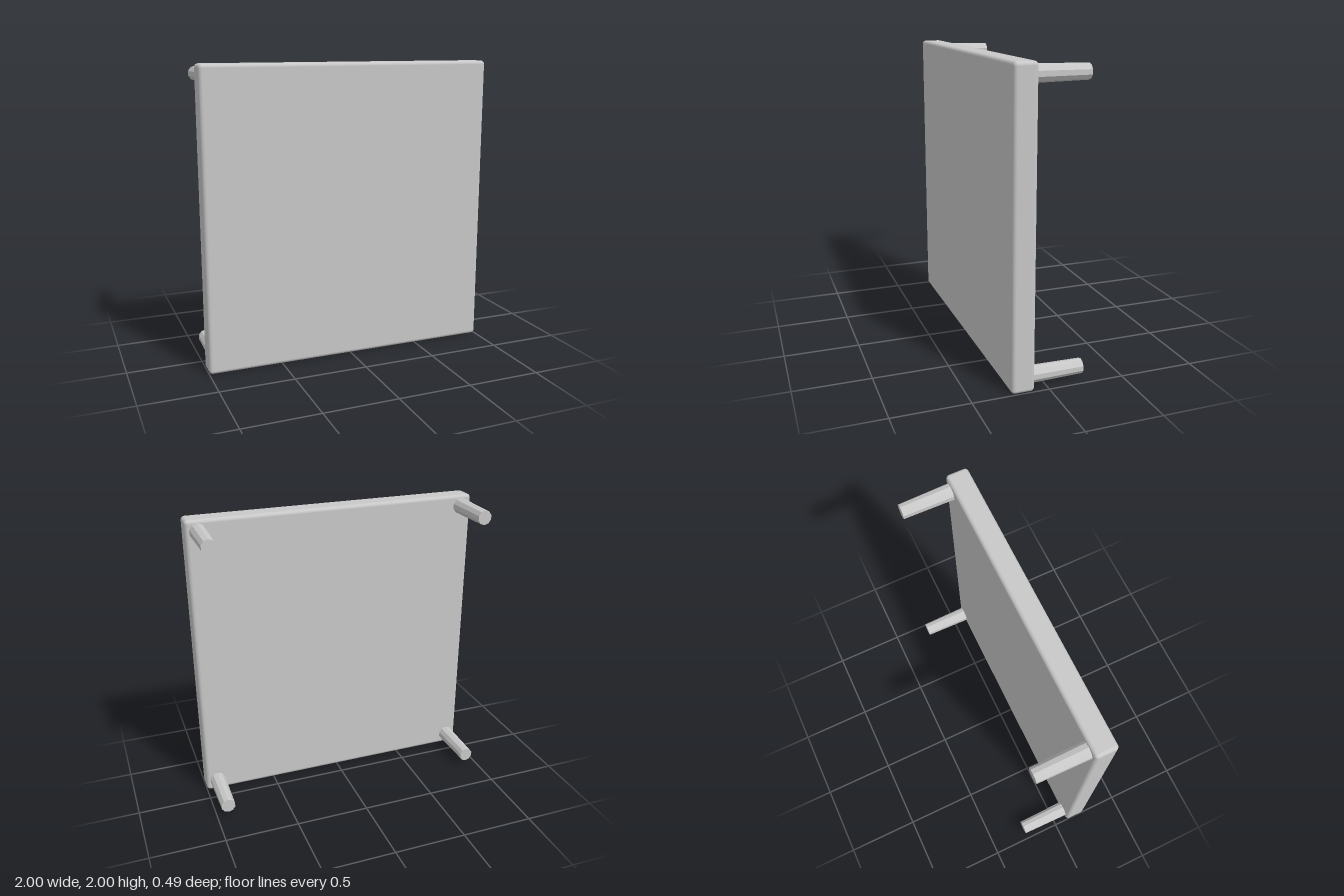
import * as THREE from 'three';
import { RoundedBoxGeometry } from 'three/addons/geometries/RoundedBoxGeometry.js';

export function createModel() {
  const model = new THREE.Group();
  model.name = 'table';

  const grey = new THREE.MeshStandardMaterial({ color: 0xc8c8c8 });
  grey.name = 'light grey';

  // Square slab with softly rounded edges, standing on its side
  const top = new THREE.Mesh(new RoundedBoxGeometry(2, 2, 0.15, 4, 0.025), grey);
  top.name = 'tableTop';
  top.position.set(0, 1, 0.17);
  model.add(top);

  // Four slightly tapered, faceted legs pointing backwards
  const z0 = 0.1, z1 = -0.245;
  const legGeometry = new THREE.CylinderGeometry(0.055, 0.049, z0 - z1, 10)
    .rotateX(Math.PI / 2)
    .toNonIndexed();
  legGeometry.computeVertexNormals();
  for (const [side, x] of [['left', 0.92], ['right', -0.92]]) {
    for (const [level, y] of [['Lower', 0.08], ['Upper', 1.925]]) {
      const leg = new THREE.Mesh(legGeometry, grey);
      leg.name = `${side}${level}Leg`;
      leg.position.set(x, y, (z0 + z1) / 2);
      model.add(leg);
    }
  }
  return model;
}
